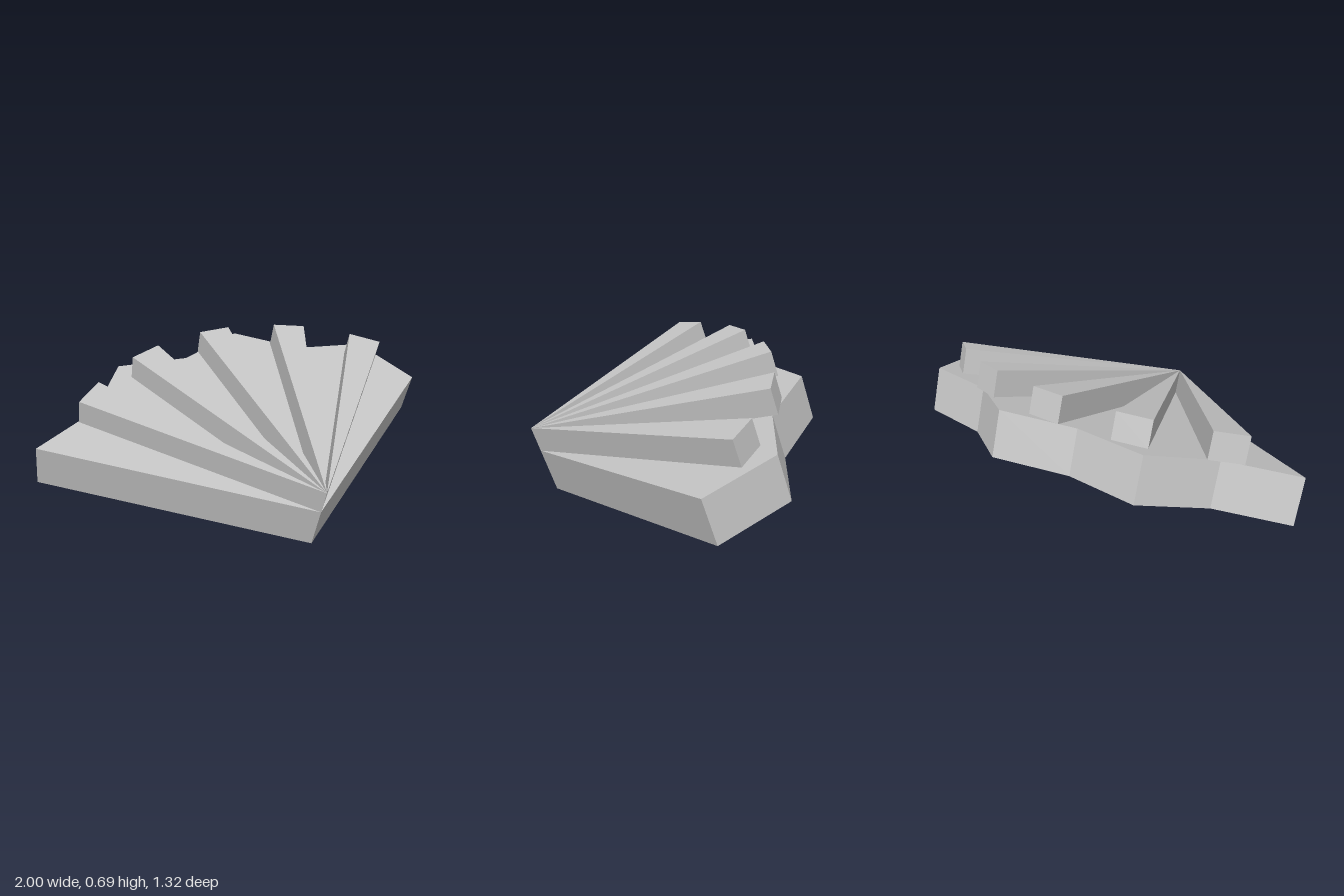
import * as THREE from 'three';

const SLAB = 0.218, RIB = 0.126, TILT = THREE.MathUtils.degToRad(18.05);

export function createModel() {
  const stone = new THREE.MeshStandardMaterial({ color: 0xc4c4c4 });
  stone.name = 'grey stone';

  // Tilted frame: x across, y up the slope from the pointed tip, z away from the slab
  const model = new THREE.Group();
  model.name = 'fan';
  model.rotation.x = TILT - Math.PI / 2;
  model.position.set(0.05, 0, 0.555);

  const addPrism = (name, points, z, depth) => {
    const shape = new THREE.Shape(points.map(([x, y]) => new THREE.Vector2(x, y)));
    const geometry = new THREE.ExtrudeGeometry(shape, { depth, bevelEnabled: false });
    const mesh = new THREE.Mesh(geometry, stone);
    mesh.name = name;
    mesh.position.z = z;
    model.add(mesh);
  };

  // Fan-shaped slab with an uneven back edge
  addPrism('slab', [
    [0, 0], [0.95, 0.668], [0.815, 1.002], [0.46, 1.065], [0.175, 1.275],
    [-0.16, 1.151], [-0.515, 1.183], [-0.73, 0.904], [-1.05, 0.747],
  ], 0, SLAB);

  // Five wedge ribs fanning out from the tip, mirrored about the middle one
  addPrism('middleRib', [[0, 0], [0.08, 1.185], [-0.08, 1.185]], SLAB, RIB);
  const ribs = { inner: [[0.48, 1.087], [0.327, 1.141]], outer: [[0.82, 0.854], [0.694, 0.959]] };
  for (const [name, [a, b]] of Object.entries(ribs)) {
    addPrism(name + 'RibLeft', [[0, 0], a, b], SLAB, RIB);
    addPrism(name + 'RibRight', [[0, 0], [-b[0], b[1]], [-a[0], a[1]]], SLAB, RIB);
  }

  const root = new THREE.Group();
  root.name = 'ribbedFan';
  root.add(model);
  return root;
}
